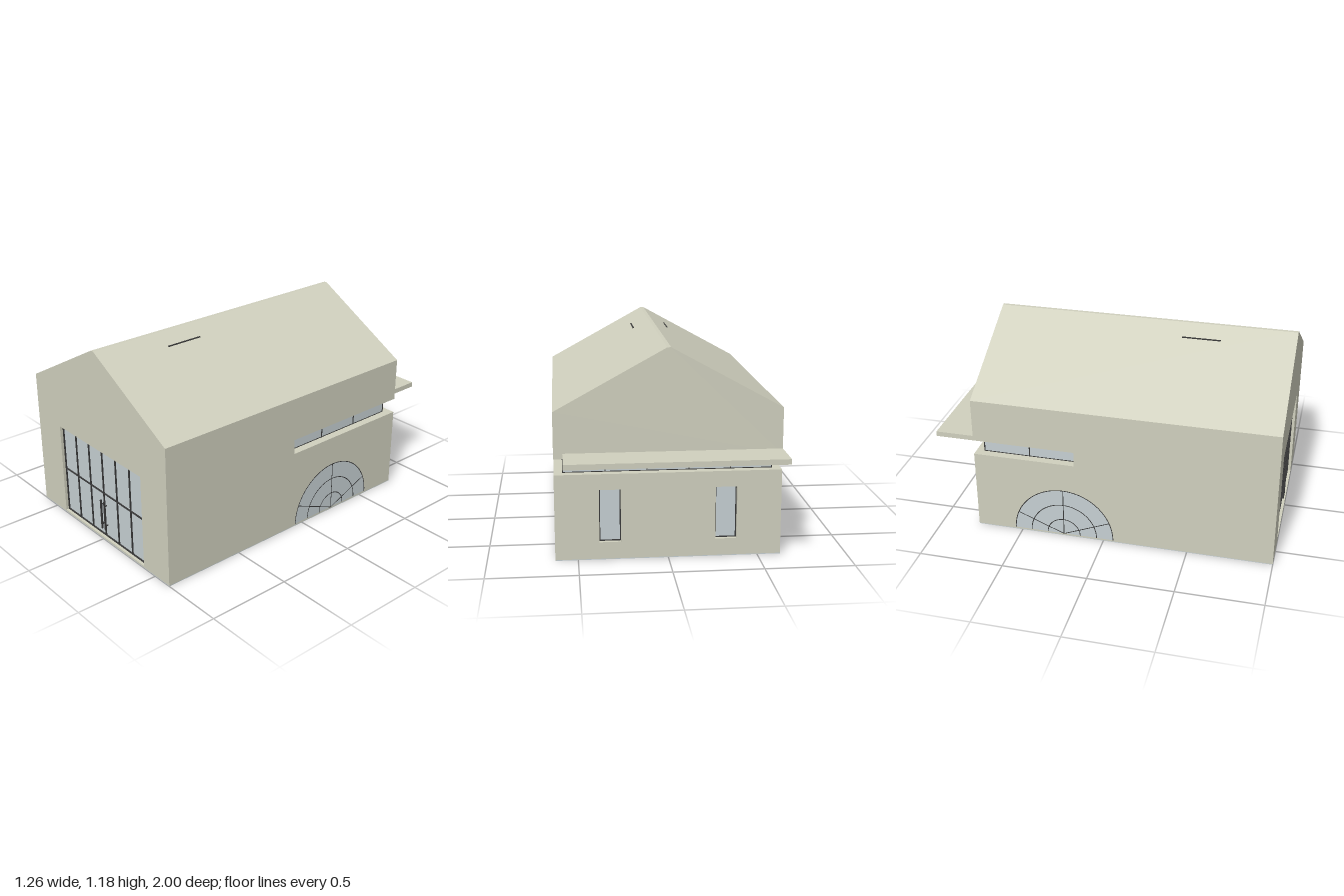
import * as THREE from 'three';

export function createModel() {
  const model = new THREE.Group();
  model.name = 'barnHouse';

  const wall = new THREE.MeshStandardMaterial({ color: 0xd0d0be });
  wall.name = 'wall plaster';
  const glass = new THREE.MeshStandardMaterial({ color: 0xc6d0d3 });
  glass.name = 'pale glass';
  const dark = new THREE.MeshStandardMaterial({ color: 0x3a3a3a });
  dark.name = 'dark metal';

  // Main sizes
  const XL = -0.63, XR = 0.626, CX = (XL + XR) / 2;
  const BACK = -0.775, EAVE = 0.84, RIDGE = 1.18;
  const SILL = 0.49, HEAD = 0.58, INSET = 0.05;

  const add = (name, geometry, material, parent = model) => {
    const mesh = new THREE.Mesh(geometry, material);
    mesh.name = name;
    parent.add(mesh);
    return mesh;
  };
  const box = (name, material, x0, x1, y0, y1, z0, z1) => {
    const g = new THREE.BoxGeometry(x1 - x0, y1 - y0, z1 - z0);
    g.translate((x0 + x1) / 2, (y0 + y1) / 2, (z0 + z1) / 2);
    return add(name, g, material);
  };
  const polygon = (points) => new THREE.Shape(points.map(([x, y]) => new THREE.Vector2(x, y)));
  const rect = (x0, x1, y0, y1) => polygon([[x0, y0], [x1, y0], [x1, y1], [x0, y1]]);
  const gable = (y0) => polygon([
    [XL, y0], [XR, y0], [XR, EAVE], [CX + 0.01, RIDGE], [CX - 0.01, RIDGE], [XL, EAVE],
  ]);
  const slab = (name, shape, z0, z1) => {
    const g = new THREE.ExtrudeGeometry(shape, { depth: z1 - z0, bevelEnabled: false });
    g.translate(0, 0, z0);
    return add(name, g, wall);
  };

  // Floor plate and wall masses, with a slot left open round the back
  const F = 0.004, FRONT_IN = 0.97, BACK_IN = BACK + 0.03;
  box('floorPlate', glass, XL, XR, 0, F, BACK, 1);
  box('lowerWalls', wall, XL, XR, F, SILL, BACK_IN, FRONT_IN);
  box('middleWalls', wall, XL, XR, SILL, HEAD, 0.08, FRONT_IN);
  box('middleLeftWall', wall, XL, 0, SILL, HEAD, -0.17, 0.08);
  slab('upperWallsAndRoof', gable(HEAD), BACK, FRONT_IN);

  // Front gable wall with the door opening
  const front = gable(F);
  front.holes.push(rect(CX - 0.398, CX + 0.398, 0.014, HEAD));
  slab('frontWall', front, FRONT_IN, 1);

  // Back wall with two narrow windows
  const back = rect(XL, XR, F, SILL);
  for (const x of [-0.322, 0.322]) {
    back.holes.push(rect(x - 0.06, x + 0.06, 0.1, 0.4));
    const z = BACK_IN;
    box('backWindowGlass', glass, x - 0.06, x + 0.06, 0.1, 0.4, z - 0.003, z + 0.003);
    for (const s of [-1, 1]) {
      const e = x + s * 0.057, y = 0.25 + s * 0.147;
      box('backWindowFrame', dark, e - 0.003, e + 0.003, 0.1, 0.4, z - 0.007, z);
      box('backWindowFrame', dark, x - 0.06, x + 0.06, y - 0.003, y + 0.003, z - 0.007, z);
    }
  }
  slab('backWall', back, BACK, BACK_IN);

  // Glazed front doors with mullions, rail and handles
  box('doorGlass', glass, CX - 0.398, CX + 0.398, 0.014, HEAD, FRONT_IN, 0.975);
  for (let i = 0; i <= 6; i++) {
    const x = CX - 0.395 + i * 0.79 / 6;
    box('doorMullion', dark, x - 0.003, x + 0.003, 0.014, HEAD, 0.974, 0.983);
  }
  for (const y of [0.017, 0.297, 0.577]) {
    box('doorRail', dark, CX - 0.398, CX + 0.398, y - 0.003, y + 0.003, 0.974, 0.983);
  }
  for (const s of [-1, 1]) {
    const x = CX + s * 0.017;
    box('doorHandle', dark, x - 0.004, x + 0.004, 0.06, 0.25, 0.987, 0.997);
    for (const y of [0.09, 0.22]) {
      box('handleMount', dark, x - 0.003, x + 0.003, y - 0.003, y + 0.003, 0.975, 0.988);
    }
  }

  // Ribbon window wrapping the right, back and left walls
  const gl = XL + INSET, gr = XR - INSET, gb = BACK + INSET;
  box('ribbonGlass', glass, gl, gr, SILL, HEAD, gb, 0.08);
  for (const y of [SILL, HEAD - 0.004]) {
    box('ribbonRail', dark, gl - 0.002, gr + 0.002, y, y + 0.004, gb - 0.002, 0.079);
  }
  const post = (x, z) => box('ribbonPost', dark, x - 0.003, x + 0.003, SILL, HEAD, z - 0.003, z + 0.003);
  for (const z of [0.077, -0.19, -0.46]) post(gr, z);
  for (const z of [-0.173, -0.45]) post(gl, z);
  for (let i = 0; i <= 5; i++) post(gl + (gr - gl) * i / 5, gb);

  // Canopy over the back
  box('canopy', wall, XL, gr, HEAD, 0.61, -1, BACK);

  // Fan windows on both sides
  for (const s of [-1, 1]) {
    const fan = new THREE.Group();
    fan.name = s > 0 ? 'rightFanWindow' : 'leftFanWindow';
    fan.position.set(s > 0 ? XR : XL, 0.014, -0.24);
    fan.rotation.y = s * Math.PI / 2;
    model.add(fan);
    add('fanGlass', new THREE.CircleGeometry(0.3, 48, 0, Math.PI), glass, fan).position.z = 0.002;
    for (const r of [0.1, 0.2, 0.3]) {
      const ring = new THREE.RingGeometry(r - 0.003, r + 0.002, 48, 1, 0, Math.PI);
      add('fanRing', ring, dark, fan).position.z = 0.0035;
    }
    for (const a of [Math.PI / 8, Math.PI / 2, Math.PI * 7 / 8]) {
      const g = new THREE.PlaneGeometry(0.3, 0.005);
      g.translate(0.15, 0, 0.0035);
      add('fanSpoke', g, dark, fan).rotation.z = a;
    }
  }

  // Slim dark strips on the roof slopes
  for (const s of [-1, 1]) {
    const x = CX + s * 0.108;
    box('roofStrip', dark, x - 0.004, x + 0.004, 1.115, 1.129, 0.345, 0.57);
  }

  return model;
}
